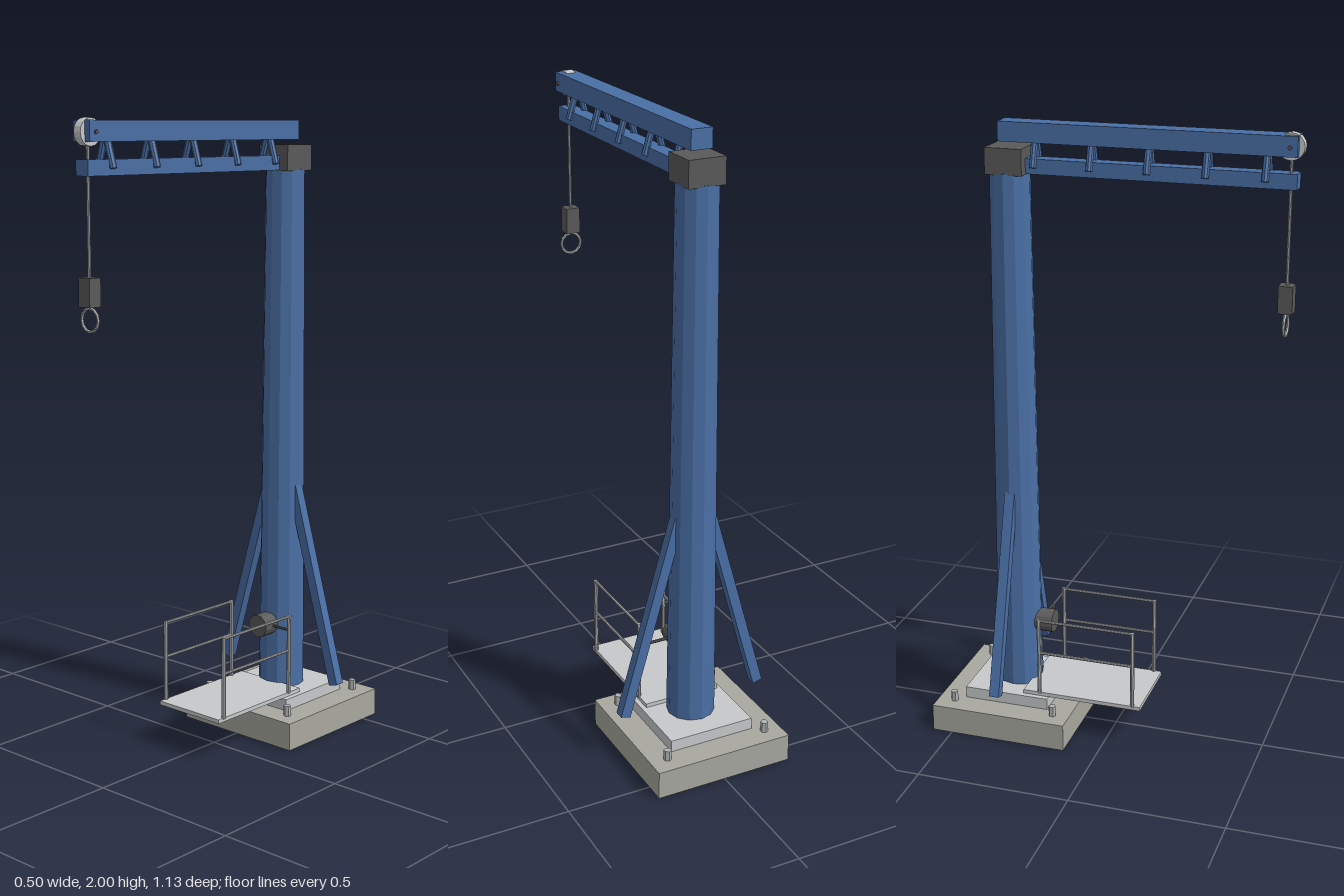
import * as THREE from 'three';

const material = (name, color, flatShading = true) => {
  const m = new THREE.MeshStandardMaterial({ color, flatShading });
  m.name = name;
  return m;
};

export function createModel() {
  const blue = material('blue paint', 0x4a6fa5);
  const concrete = material('concrete', 0xa8a8a0);
  const steel = material('light steel', 0xc6c8ca);
  const dark = material('dark metal', 0x5a5a5a);
  const rail = material('rail metal', 0xb0b2b4);

  const root = new THREE.Group();
  root.name = 'jibCrane';
  const Z = -0.337; // column axis
  const TIP = 0.525; // pulley and cable position

  const add = (name, geometry, mat, x = 0, y = 0, z = 0) => {
    const mesh = new THREE.Mesh(geometry, mat);
    mesh.name = name;
    mesh.position.set(x, y, z);
    root.add(mesh);
    return mesh;
  };
  // box given by its limits on each axis
  const box = (name, mat, x0, x1, y0, y1, z0, z1) =>
    add(name, new THREE.BoxGeometry(x1 - x0, y1 - y0, z1 - z0), mat,
      (x0 + x1) / 2, (y0 + y1) / 2, (z0 + z1) / 2);
  // straight member between two points, round or square
  const member = (name, mat, a, b, size, square = false) => {
    const p = new THREE.Vector3(...a), q = new THREE.Vector3(...b);
    const d = q.clone().sub(p), len = d.length();
    const geo = square ? new THREE.BoxGeometry(size, len, size)
      : new THREE.CylinderGeometry(size, size, len, 8);
    const mesh = add(name, geo, mat);
    mesh.position.copy(p.add(q).multiplyScalar(0.5));
    mesh.quaternion.setFromUnitVectors(new THREE.Vector3(0, 1, 0), d.normalize());
    return mesh;
  };

  // foundation, base plate and anchor bolts
  box('foundation', concrete, -0.228, 0.228, 0, 0.09, -0.565, -0.11);
  box('basePlate', steel, -0.142, 0.142, 0.09, 0.128, -0.48, -0.195);
  for (const x of [-0.171, 0.171]) {
    for (const z of [-0.509, -0.166]) {
      add('anchorBolt', new THREE.CylinderGeometry(0.012, 0.012, 0.04, 6), rail, x, 0.104, z);
    }
  }

  // tapered column and head
  add('column', new THREE.CylinderGeometry(0.063, 0.076, 1.712, 12), blue, 0, 0.981, Z);
  box('columnHead', dark, -0.059, 0.059, 1.833, 1.914, -0.396, -0.278);

  // side braces
  for (const s of [-1, 1]) {
    member('brace', blue, [s * 0.236, 0.167, Z], [s * 0.053, 0.81, Z], 0.033, true);
  }

  // boom: two beams joined by pairs of splayed struts
  box('upperBeam', blue, -0.034, 0.034, 1.93, 1.99, -0.362, 0.548);
  box('lowerBeam', blue, -0.025, 0.025, 1.835, 1.881, -0.28, 0.548);
  for (let i = 0; i < 5; i++) {
    const z = -0.253 + i * 0.177;
    for (const s of [-1, 1]) {
      member('strut', blue, [s * 0.006, 1.94, z], [s * 0.031, 1.855, z], 0.011);
    }
  }

  // tip pulley on its axle
  const pulley = add('pulley', new THREE.CylinderGeometry(0.04, 0.04, 0.028, 16), steel, 0, 1.957, TIP);
  pulley.rotation.z = Math.PI / 2;
  member('pulleyAxle', dark, [-0.04, 1.957, TIP], [0.04, 1.957, TIP], 0.006);

  // cable, hook block and ring
  member('cable', rail, [0, 1.54, TIP], [0, 1.95, TIP], 0.005);
  box('hookBlock', dark, -0.023, 0.023, 1.466, 1.55, TIP - 0.022, TIP + 0.022);
  add('hookRing', new THREE.TorusGeometry(0.034, 0.005, 6, 12), rail, 0, 1.428, TIP);

  // service platform with a railing on each side
  box('platform', steel, -0.128, 0.128, 0.13, 0.143, -0.281, 0.119);
  for (const x of [-0.126, 0.126]) {
    for (const z of [-0.225, 0.093]) {
      member('railPost', rail, [x, 0.14, z], [x, 0.406, z], 0.007);
    }
    for (const y of [0.287, 0.402]) {
      member('handRail', rail, [x, y, -0.225], [x, y, 0.093], 0.005);
    }
  }

  // hand winch on the column
  member('winchDrum', dark, [0, 0.345, -0.275], [0, 0.345, -0.213], 0.038).geometry =
    new THREE.CylinderGeometry(0.038, 0.038, 0.062, 14);
  member('winchHandle', dark, [0, 0.345, -0.252], [0.108, 0.345, -0.252], 0.005);

  return root;
}
